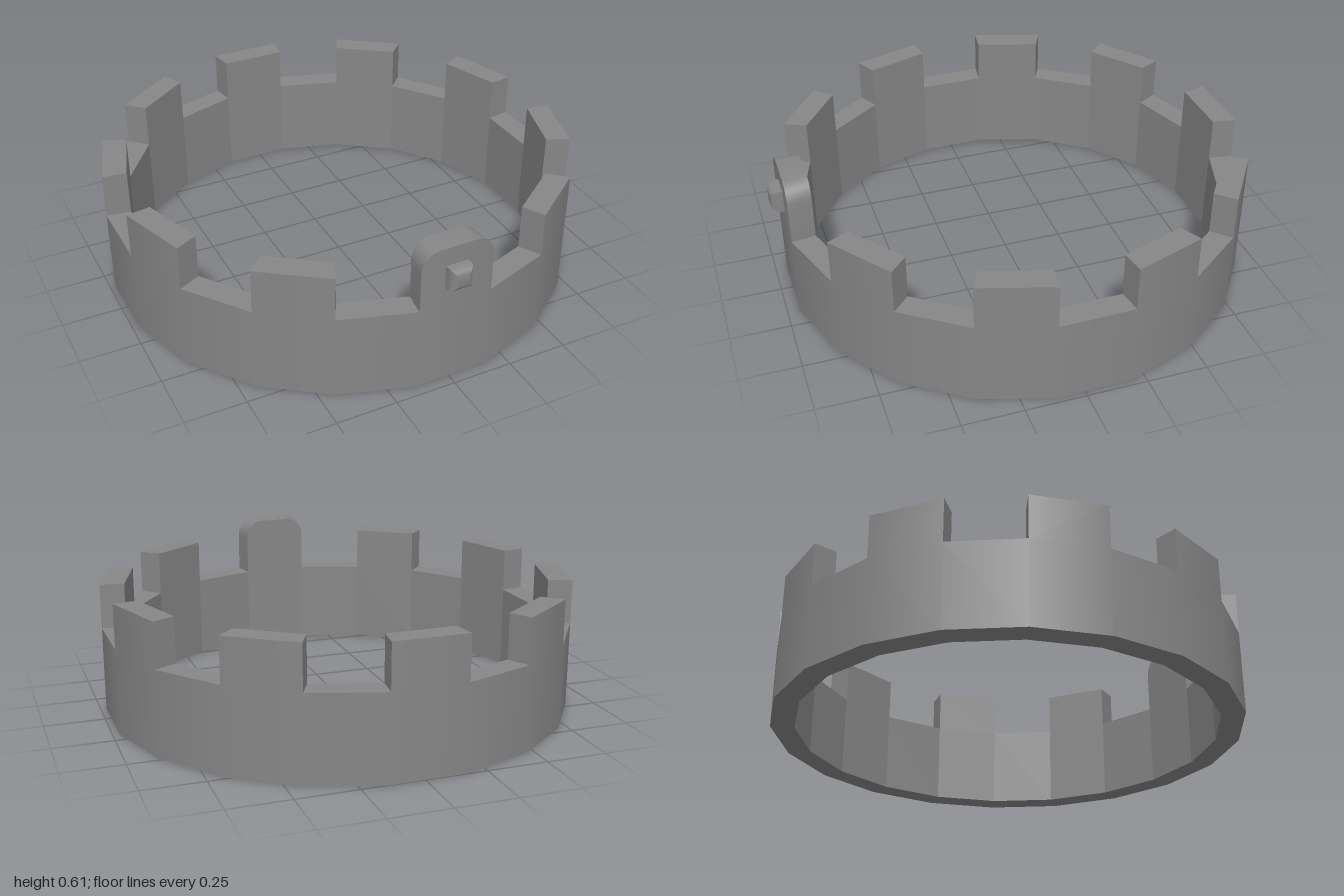
import * as THREE from 'three';
import { toCreasedNormals } from 'three/addons/utils/BufferGeometryUtils.js';

const SIDES = 20;
const STEP = (Math.PI * 2) / SIDES;
const TWIST = 0.014; // slight turn of the whole ring
const FACE_OUT = 0.975, FACE_IN = 0.876; // distance of flat faces from the axis
const R_OUT = FACE_OUT / Math.cos(STEP / 2), R_IN = FACE_IN / Math.cos(STEP / 2);
const BAND = 0.355, MERLON = 0.54, TAB = 0.605;
const HALF = R_OUT * Math.sin(STEP / 2);

const material = new THREE.MeshStandardMaterial({ color: 0x868686 });

function mesh(name, geometry) {
  const m = new THREE.Mesh(geometry, material);
  m.name = name;
  return m;
}

function lathe(points, sides, phi) {
  return new THREE.LatheGeometry(points.map(([x, y]) => new THREE.Vector2(x, y)), sides, phi);
}

function faceted(geometry) {
  const g = geometry.toNonIndexed();
  g.computeVertexNormals();
  return g;
}

// Extrudes an outline through the wall and tapers it towards the axis
function wallPiece(shape) {
  let g = new THREE.ExtrudeGeometry(shape, { depth: FACE_OUT - FACE_IN, bevelEnabled: false, curveSegments: 6 });
  g.translate(0, 0, FACE_IN);
  const p = g.attributes.position;
  for (let i = 0; i < p.count; i++) p.setX(i, (p.getX(i) * p.getZ(i)) / FACE_OUT);
  g = toCreasedNormals(g, 0.6);
  // Outer face shades as part of the round wall
  const q = g.attributes.position, n = g.attributes.normal, v = new THREE.Vector3();
  for (let i = 0; i < q.count; i++) {
    if (n.getZ(i) < 0.9) continue;
    v.set(q.getX(i), 0, q.getZ(i)).normalize();
    n.setXYZ(i, v.x, v.y, v.z);
  }
  return g;
}

export function createModel() {
  const group = new THREE.Group();
  group.name = 'crown';
  const ring = new THREE.Group();
  ring.name = 'ring';
  ring.position.z = -0.025;
  ring.rotation.y = TWIST;
  group.add(ring);

  // Band: smooth outside, faceted inside and rims
  ring.add(mesh('bandOuter', lathe([[R_OUT, 0], [R_OUT, BAND]], SIDES, STEP / 2)));
  ring.add(mesh('bandInner', faceted(
    lathe([[R_OUT, BAND], [R_IN, BAND], [R_IN, 0], [R_OUT, 0]], SIDES, STEP / 2))));

  // Merlons on every second side, except the front
  const block = new THREE.Shape();
  block.moveTo(-HALF, BAND).lineTo(HALF, BAND).lineTo(HALF, MERLON).lineTo(-HALF, MERLON);
  const merlonGeometry = wallPiece(block);
  for (let i = 2; i < SIDES; i += 2) {
    const merlon = mesh('merlon', merlonGeometry);
    merlon.rotation.y = i * STEP;
    ring.add(merlon);
  }

  // Taller front tab with rounded shoulders
  const r = 0.08;
  const tab = new THREE.Shape();
  tab.moveTo(-HALF, BAND).lineTo(HALF, BAND).lineTo(HALF, TAB - r)
    .bezierCurveTo(HALF, TAB - r * 0.45, HALF - r * 0.45, TAB, HALF - r, TAB)
    .lineTo(-HALF + r, TAB)
    .bezierCurveTo(-HALF + r * 0.45, TAB, -HALF, TAB - r * 0.45, -HALF, TAB - r);
  ring.add(mesh('frontTab', wallPiece(tab)));

  // Square cushion stud on the tab
  const stud = mesh('stud', toCreasedNormals(lathe(
    [[0.0675, -0.01], [0.0675, 0.018], [0.063, 0.032], [0.052, 0.044], [0.036, 0.05], [0, 0.05]],
    4, Math.PI / 4), 0.6));
  stud.rotation.x = Math.PI / 2;
  stud.position.set(-0.003, 0.48, FACE_OUT);
  ring.add(stud);

  return group;
}
